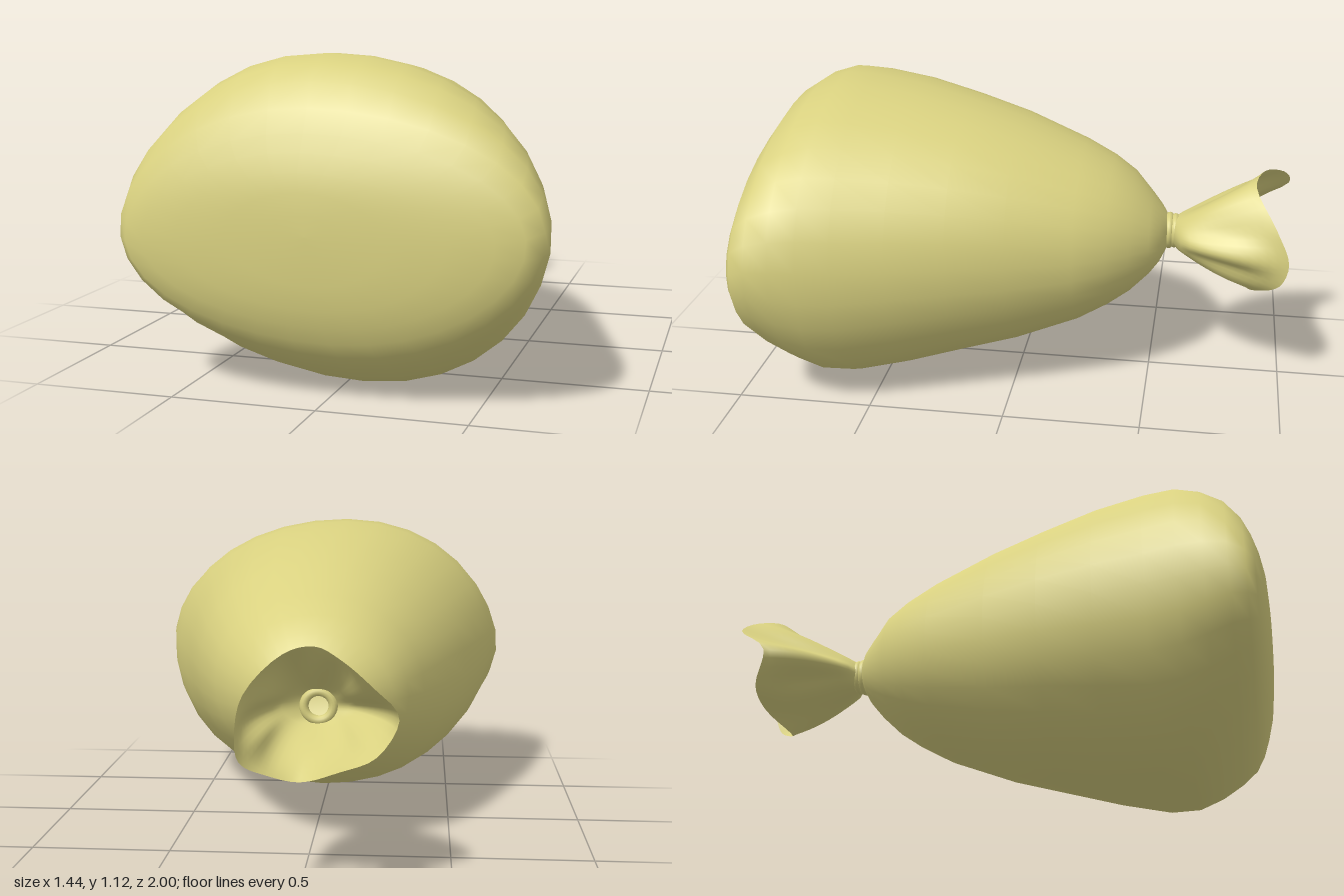
import * as THREE from 'three';

// Skin a list of closed rings, ordered from back (-z) to front (+z)
function loft(rings, material, name) {
  const n = rings[0].length, index = [];
  for (let j = 0; j < rings.length - 1; j++) {
    for (let i = 0; i < n; i++) {
      const k = (i + 1) % n;
      const a = j * n + i, b = j * n + k, c = b + n, d = a + n;
      index.push(a, b, c, a, c, d);
    }
  }
  const geometry = new THREE.BufferGeometry().setFromPoints(rings.flat());
  geometry.setIndex(index);
  geometry.computeVertexNormals();
  const mesh = new THREE.Mesh(geometry, material);
  mesh.name = name;
  return mesh;
}

const ring = (sides, fn) => Array.from({ length: sides }, (_, i) => fn((i / sides) * Math.PI * 2, i / sides));
const power = (v, e) => Math.sign(v) * Math.abs(v) ** e;

export function createModel() {
  const group = new THREE.Group();
  group.name = 'tiedSack';
  const cloth = new THREE.MeshStandardMaterial({ color: 0xd9d180, side: THREE.DoubleSide });

  // Sack body sections: z, centre x, half width, bottom y, top y
  const sections = [
    [-0.556, -0.04, 0.05, 0.505, 0.605],
    [-0.545, -0.04, 0.085, 0.48, 0.622],
    [-0.525, -0.03, 0.14, 0.443, 0.653],
    [-0.49, -0.02, 0.19, 0.4, 0.7],
    [-0.42, -0.025, 0.268, 0.33, 0.777],
    [-0.34, -0.02, 0.325, 0.275, 0.835],
    [-0.23, -0.015, 0.386, 0.215, 0.893],
    [0, -0.012, 0.48, 0.128, 0.988],
    [0.2, -0.015, 0.548, 0.076, 1.045],
    [0.4, -0.012, 0.608, 0.03, 1.09],
    [0.58, -0.005, 0.658, 0.002, 1.113],
    [0.69, 0, 0.687, 0.012, 1.117],
    [0.78, 0, 0.708, 0.052, 1.088],
    [0.86, 0, 0.722, 0.105, 1.036],
    [0.915, 0, 0.713, 0.155, 0.955],
    [0.945, -0.01, 0.67, 0.205, 0.88],
    [0.966, -0.02, 0.59, 0.26, 0.82],
    [0.984, -0.03, 0.45, 0.32, 0.76],
    [0.994, -0.03, 0.27, 0.4, 0.7],
    [0.999, -0.03, 0.1, 0.49, 0.63],
    [1, -0.03, 0, 0.56, 0.56],
  ];
  const body = sections.map(([z, cx, w, lo, hi]) => {
    // Full in the middle, lens shaped where the front closes
    const e = 0.97 + 0.06 * THREE.MathUtils.smoothstep(z, 0.7, 0.95);
    const lean = 0.06 * THREE.MathUtils.smoothstep(z, 0, 0.7);
    return ring(32, (a) => {
      const s = power(Math.sin(a), e);
      const x = cx + w * power(Math.cos(a), e);
      const y = (lo + hi) / 2 + ((hi - lo) / 2) * s;
      // One corner sits higher and the crown leans the other way
      return new THREE.Vector3(x - lean * (hi - lo) * s, y + 0.085 * x * Math.abs(x), z);
    });
  });
  group.add(loft(body, cloth, 'sackBody'));

  // Tie cord around the neck
  const neck = new THREE.Vector3(-0.04, 0.555, -0.57);
  for (const [z, radius] of [[-0.556, 0.054], [-0.578, 0.05]]) {
    const cord = new THREE.Mesh(new THREE.TorusGeometry(radius, 0.016, 10, 32), cloth);
    cord.name = 'neckTie';
    cord.position.set(neck.x, neck.y, z);
    group.add(cord);
  }

  // Gathered mouth billowing sideways from the neck to a wavy rim
  const rim = new THREE.CatmullRomCurve3([
    [0.19, 0.54, -1.0], [0.17, 0.66, -0.95], [0.05, 0.78, -0.87], [-0.05, 0.81, -0.9],
    [-0.14, 0.78, -0.975], [-0.24, 0.7, -1.0], [-0.32, 0.57, -0.87], [-0.25, 0.46, -0.92],
    [-0.13, 0.41, -0.92], [0, 0.36, -0.86], [0.1, 0.39, -0.9], [0.18, 0.45, -0.975],
  ].map((p) => new THREE.Vector3(...p)), true);
  const mouth = [];
  for (let j = 12; j >= 0; j--) {
    const t = j / 12, root = 0.05 * (1 - t);
    mouth.push(ring(48, (a, u) => {
      const end = rim.getPoint(u);
      const pleat = 1 + 0.09 * Math.sin(Math.PI * t) * Math.cos(6 * a);
      const spreadX = t ** (0.55 - 0.1 * Math.cos(a));
      return new THREE.Vector3(
        neck.x + (root * Math.cos(a) + (end.x - neck.x) * spreadX) * pleat,
        neck.y + (root * Math.sin(a) + (end.y - neck.y) * t) * pleat,
        THREE.MathUtils.lerp(neck.z, end.z, t),
      );
    }));
  }
  group.add(loft(mouth, cloth, 'gatheredMouth'));

  return group;
}
